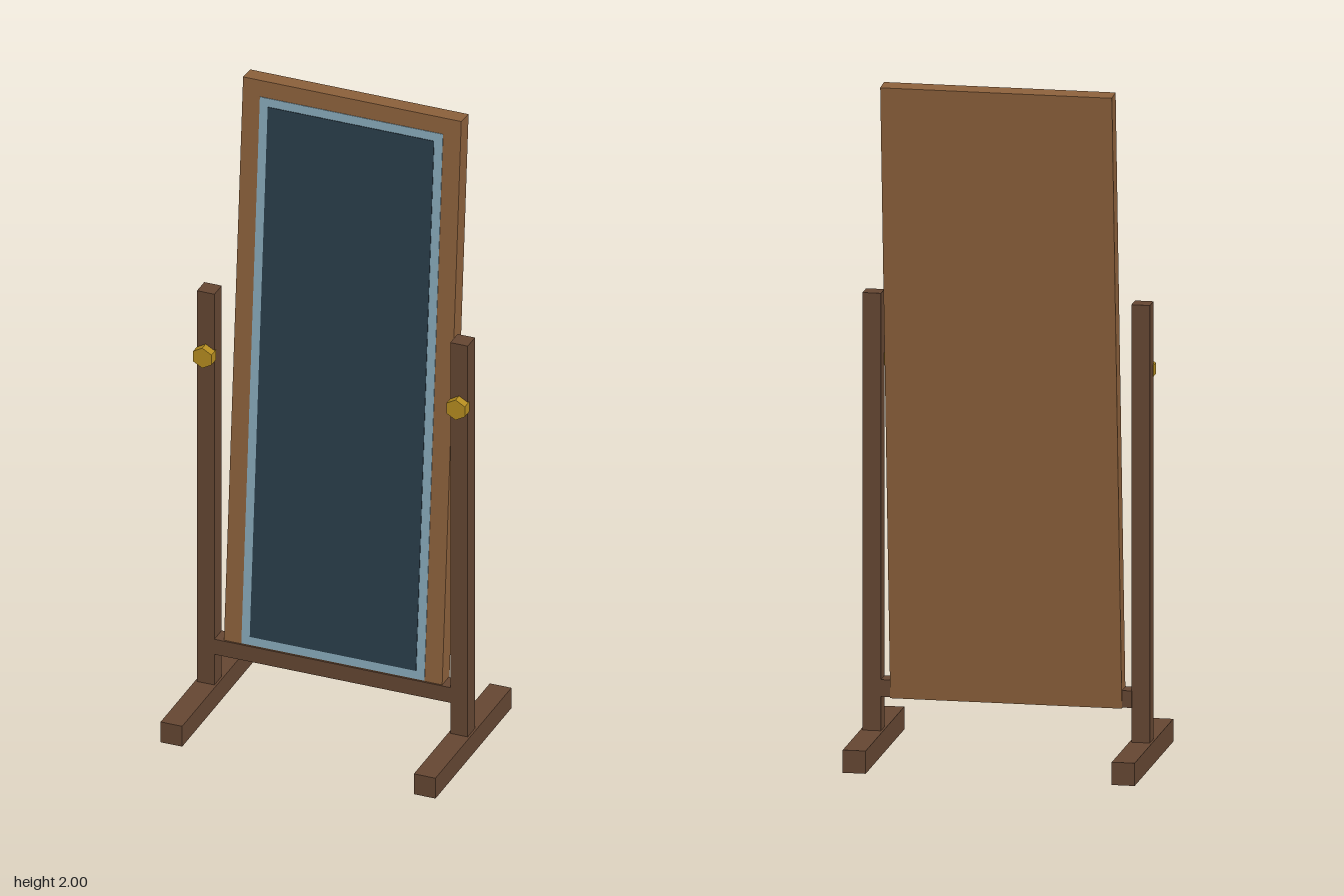
import * as THREE from 'three';

const material = (name, color) => {
  const m = new THREE.MeshStandardMaterial({ color });
  m.name = name;
  return m;
};

export function createModel() {
  const model = new THREE.Group();
  model.name = 'standingMirror';
  const darkWood = material('dark wood', 0x644632);
  const lightWood = material('light wood', 0x8b603b);
  const silver = material('pale silver', 0x86a7b7);
  const glass = material('dark glass', 0x293c49);
  const brass = material('brass', 0xb48c20);

  const add = (parent, name, geometry, mat, x, y, z) => {
    const mesh = new THREE.Mesh(geometry, mat);
    mesh.name = name;
    mesh.position.set(x, y, z);
    parent.add(mesh);
    return mesh;
  };
  const box = (w, h, d) => new THREE.BoxGeometry(w, h, d);

  // Stand: a foot, a post and a hexagonal knob on each side
  for (const [side, s] of [['left', 1], ['right', -1]]) {
    const x = s * 0.393;
    add(model, side + 'Foot', box(0.067, 0.067, 0.568), darkWood, x, 0.0335, 0);
    add(model, side + 'Post', box(0.054, 1.288, 0.054), darkWood, x, 0.711, 0);
    const knob = new THREE.CylinderGeometry(0.033, 0.033, 0.034, 6).toNonIndexed();
    knob.computeVertexNormals();
    knob.rotateX(Math.PI / 2);
    add(model, side + 'Knob', knob, brass, x, 1.152, 0.036);
  }

  // Crossbar joining the posts
  add(model, 'crossbar', box(0.734, 0.05, 0.055), darkWood, 0, 0.193, 0);

  // Mirror panel, leaning back
  const panel = new THREE.Group();
  panel.name = 'mirrorPanel';
  panel.position.set(0, 1.0825, -0.075);
  panel.rotation.x = -0.08;
  model.add(panel);
  add(panel, 'frame', box(0.677, 1.8365, 0.055), lightWood, 0, 0, 0);
  add(panel, 'silverEdge', box(0.568, 1.734, 0.004), silver, 0, 0, 0.0275);
  add(panel, 'mirrorGlass', box(0.516, 1.681, 0.004), glass, 0, 0, 0.0295);

  return model;
}
